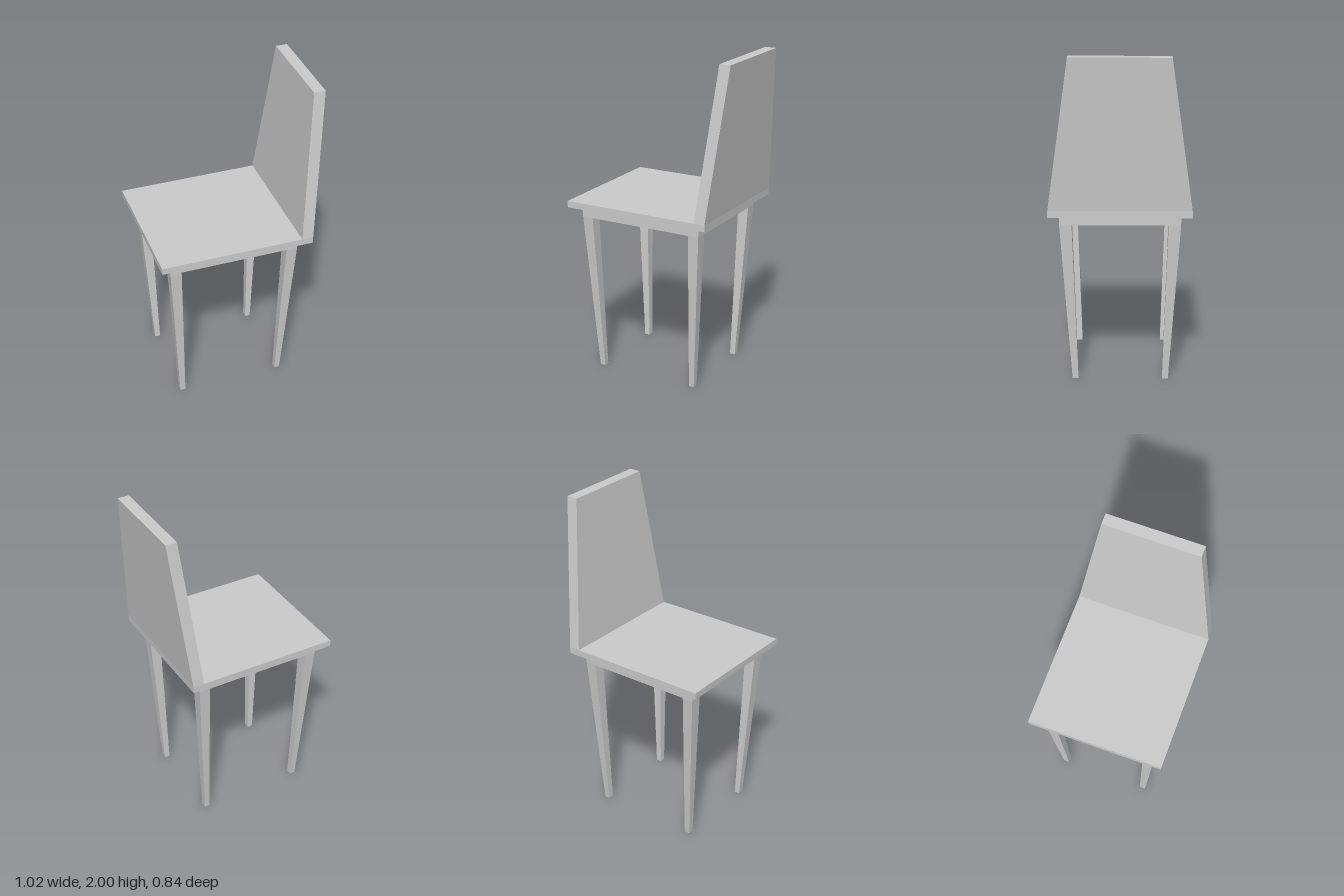
import * as THREE from 'three';

const material = new THREE.MeshStandardMaterial({ color: 0xcccccc, flatShading: true });

// Six-sided block whose bottom and top rectangles [x0, x1, z0, z1] may differ.
function taperedBlock(name, y0, y1, bottom, top) {
  const geometry = new THREE.BoxGeometry(1, 1, 1);
  const p = geometry.attributes.position;
  for (let i = 0; i < p.count; i++) {
    const up = p.getY(i) > 0;
    const r = up ? top : bottom;
    p.setXYZ(i, p.getX(i) > 0 ? r[1] : r[0], up ? y1 : y0, p.getZ(i) > 0 ? r[3] : r[2]);
  }
  geometry.computeVertexNormals();
  const mesh = new THREE.Mesh(geometry, material);
  mesh.name = name;
  return mesh;
}

function rectangle(PathType, hx, hz) {
  return new PathType([[-hx, -hz], [hx, -hz], [hx, hz], [-hx, hz]].map(([x, y]) => new THREE.Vector2(x, y)));
}

export function createModel() {
  const chair = new THREE.Group();
  chair.name = 'chair';

  const seatBottom = 1.055, seatTop = 1.095, apronBottom = 0.99;
  const baseX = -0.047; // centre of the legs and apron

  // Seat panel
  const seatRect = [-0.51, 0.422, -0.42, 0.42];
  chair.add(taperedBlock('seat', seatBottom, seatTop, seatRect, seatRect));

  // Leaning backrest, narrower at the top
  chair.add(taperedBlock('backrest', seatTop, 2, [0.353, 0.422, -0.42, 0.42], [0.44, 0.51, -0.292, 0.292]));

  // Apron frame under the seat
  const frame = rectangle(THREE.Shape, 0.396, 0.357);
  frame.holes.push(rectangle(THREE.Path, 0.328, 0.284));
  const apronGeometry = new THREE.ExtrudeGeometry(frame, { depth: seatBottom - apronBottom, bevelEnabled: false });
  apronGeometry.rotateX(-Math.PI / 2);
  const apron = new THREE.Mesh(apronGeometry, material);
  apron.name = 'apron';
  apron.position.set(baseX, apronBottom, 0);
  chair.add(apron);

  // Four legs, tapering and leaning inward towards the floor
  const span = (centre, side, inner, outer) => [centre + side * inner, centre + side * outer].sort((a, b) => a - b);
  for (const sx of [-1, 1]) {
    for (const sz of [-1, 1]) {
      const foot = [...span(baseX, sx, 0.301, 0.334), ...span(0, sz, 0.254, 0.29)];
      const head = [...span(baseX, sx, 0.328, 0.396), ...span(0, sz, 0.284, 0.357)];
      chair.add(taperedBlock(`${sz > 0 ? 'front' : 'back'}${sx > 0 ? 'Left' : 'Right'}Leg`, 0, apronBottom, foot, head));
    }
  }
  return chair;
}
